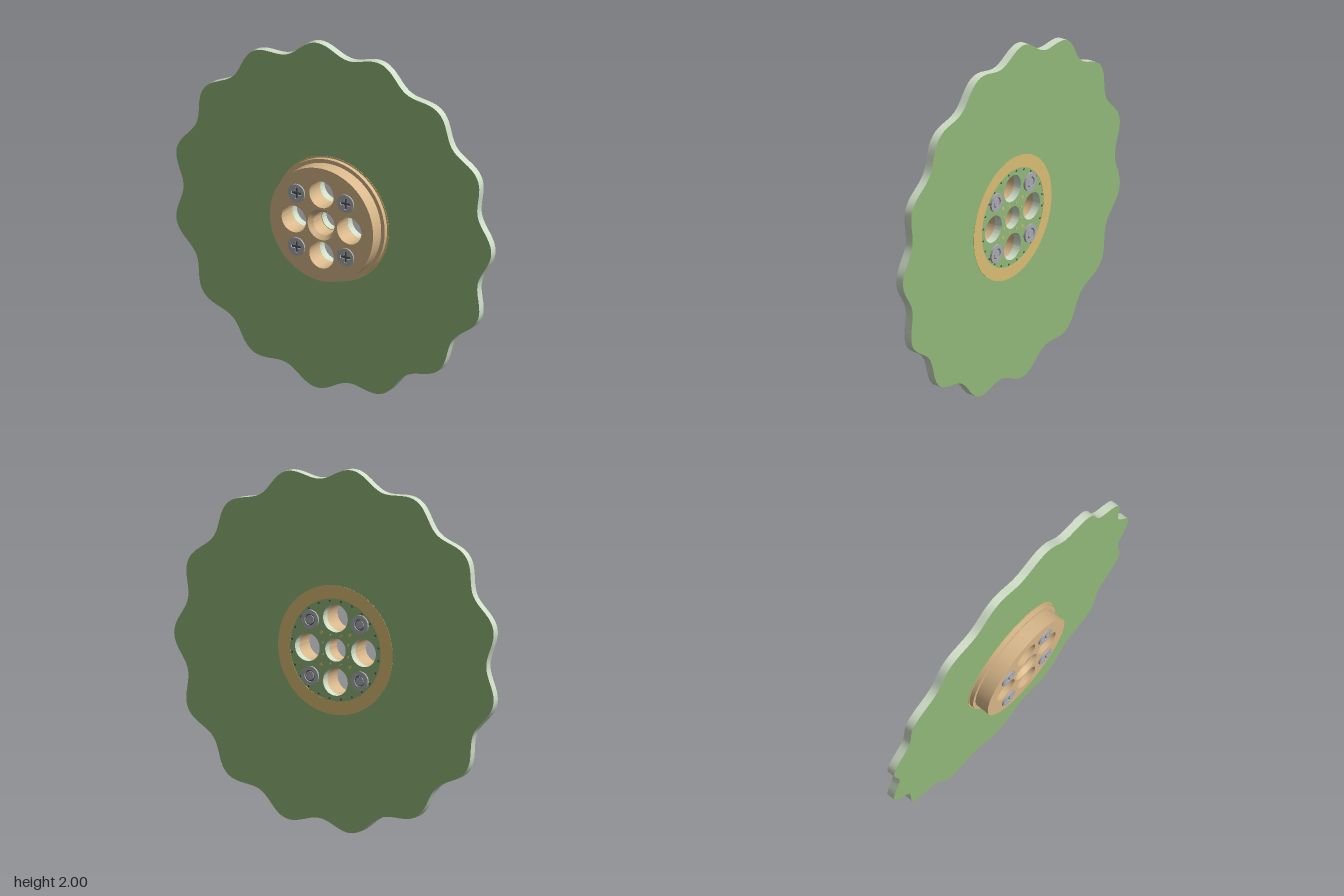
import * as THREE from 'three';
import { toCreasedNormals } from 'three/addons/utils/BufferGeometryUtils.js';

const mat = (color) => new THREE.MeshStandardMaterial({ color });
const TAU = Math.PI * 2;

const BOARD_BACK = -0.078, BOARD_FRONT = -0.032, HUB_FRONT = 0.08;

// Circle path, used for outlines and holes
function circle(Type, r, x = 0, y = 0) {
  const c = new Type();
  c.absarc(x, y, r, 0, TAU, false);
  return c;
}

// Extrude a shape from z0 to z1 with sharp rims and smooth walls
function plate(shape, z0, z1, curveSegments = 32) {
  const g = new THREE.ExtrudeGeometry(shape, { depth: z1 - z0, bevelEnabled: false, curveSegments });
  g.translate(0, 0, z0);
  return toCreasedNormals(g, 0.7);
}

function add(parent, name, geometry, material) {
  const m = new THREE.Mesh(geometry, material);
  m.name = name;
  parent.add(m);
  return m;
}

// Four lightening holes around the centre bore
function punch(shape, bore) {
  shape.holes.push(circle(THREE.Path, bore));
  for (let i = 0; i < 4; i++) {
    const a = i * Math.PI / 2;
    shape.holes.push(circle(THREE.Path, 0.077, 0.175 * Math.cos(a), 0.175 * Math.sin(a)));
  }
  return shape;
}

// Wavy rim with fifteen lobes
function wavyOutline() {
  const pts = [];
  const n = 360;
  for (let i = 0; i < n; i++) {
    const a = i / n * TAU;
    const r = 0.973 + 0.0325 * Math.cos(15 * a);
    pts.push(new THREE.Vector2(r * Math.cos(a), r * Math.sin(a)));
  }
  return new THREE.Shape(pts);
}

// Cross-shaped recess for the screw heads
function crossPath(l, w) {
  const p = [[l, w], [w, w], [w, l], [-w, l], [-w, w], [-l, w], [-l, -w], [-w, -w], [-w, -l], [w, -l], [w, -w], [l, -w]];
  return new THREE.Path(p.map(([x, y]) => new THREE.Vector2(x, y)));
}

export function createModel() {
  const model = new THREE.Group();
  model.name = 'scallopedDiscWithHub';
  const body = new THREE.Group();
  body.name = 'discAssembly';
  body.position.set(-0.011, 1, 0);
  model.add(body);

  const green = mat(0x92b87a), paleEdge = mat(0xd0dec8), tan = mat(0xd8b78a);
  const gold = mat(0xd9bd74), steel = mat(0xa9abaf), dark = mat(0x55575a);
  const tanInside = mat(0xd8b78a);
  tanInside.side = THREE.DoubleSide;

  // Board: green faces, pale cut edges
  add(body, 'scallopedBoard', plate(punch(wavyOutline(), 0.064), BOARD_BACK, BOARD_FRONT), [green, paleEdge]);

  // Gold rings on both faces of the board
  const frontRing = circle(THREE.Shape, 0.357);
  frontRing.holes.push(circle(THREE.Path, 0.33));
  add(body, 'frontContactRing', plate(frontRing, BOARD_FRONT, BOARD_FRONT + 0.002, 64), gold);
  const backRing = circle(THREE.Shape, 0.357);
  backRing.holes.push(circle(THREE.Path, 0.283));
  add(body, 'backContactRing', plate(backRing, BOARD_BACK - 0.0015, BOARD_BACK, 64), gold);

  // Hub flange and drum
  add(body, 'hubFlange', plate(punch(circle(THREE.Shape, 0.348), 0.088), BOARD_FRONT, -0.005, 64), tan);
  add(body, 'hubDrum', plate(punch(circle(THREE.Shape, 0.326), 0.088), -0.005, HUB_FRONT, 64), tan);

  // Countersunk centre bore
  const bore = new THREE.LatheGeometry([
    [0.067, BOARD_FRONT], [0.067, 0.055], [0.088, HUB_FRONT],
  ].map(([r, z]) => new THREE.Vector2(r, z)), 48);
  bore.rotateX(Math.PI / 2);
  add(body, 'centreBore', toCreasedNormals(bore, 0.5), tanInside);

  // Screws in front, nuts with screw ends behind
  for (const sx of [-1, 1]) for (const sy of [-1, 1]) {
    const screw = new THREE.Group();
    screw.name = 'screw';
    screw.position.set(sx * 0.155, sy * 0.155, 0);
    body.add(screw);

    const head = circle(THREE.Shape, 0.052);
    head.holes.push(crossPath(0.032, 0.008));
    add(screw, 'screwHead', plate(head, HUB_FRONT, 0.09, 16), steel);
    add(screw, 'crossRecess', plate(circle(THREE.Shape, 0.04), HUB_FRONT, 0.082, 16), dark);

    const nut = circle(THREE.Shape, 0.053);
    nut.holes.push(circle(THREE.Path, 0.031));
    add(screw, 'backNut', plate(nut, -0.09, BOARD_BACK, 16), steel);
    add(screw, 'nutRecess', plate(circle(THREE.Shape, 0.033), -0.081, BOARD_BACK, 16), dark);
    add(screw, 'screwEnd', plate(circle(THREE.Shape, 0.024), -0.087, BOARD_BACK, 16), steel);
  }

  // Small plated dots on the back, in concentric circles
  const dotRing = (name, count, radius, size, material, start) => {
    const g = new THREE.Group();
    g.name = name;
    body.add(g);
    for (let i = 0; i < count; i++) {
      const a = start + i / count * TAU;
      const dot = add(g, 'dot', new THREE.CylinderGeometry(size, size, 0.003, 8), material);
      dot.rotation.x = Math.PI / 2;
      dot.position.set(radius * Math.cos(a), radius * Math.sin(a), BOARD_BACK - 0.001);
    }
  };
  dotRing('outerDots', 24, 0.271, 0.006, dark, TAU / 48);
  dotRing('innerDots', 4, 0.125, 0.01, gold, TAU / 8);
  dotRing('boreDots', 8, 0.085, 0.006, gold, TAU / 16);

  return model;
}
